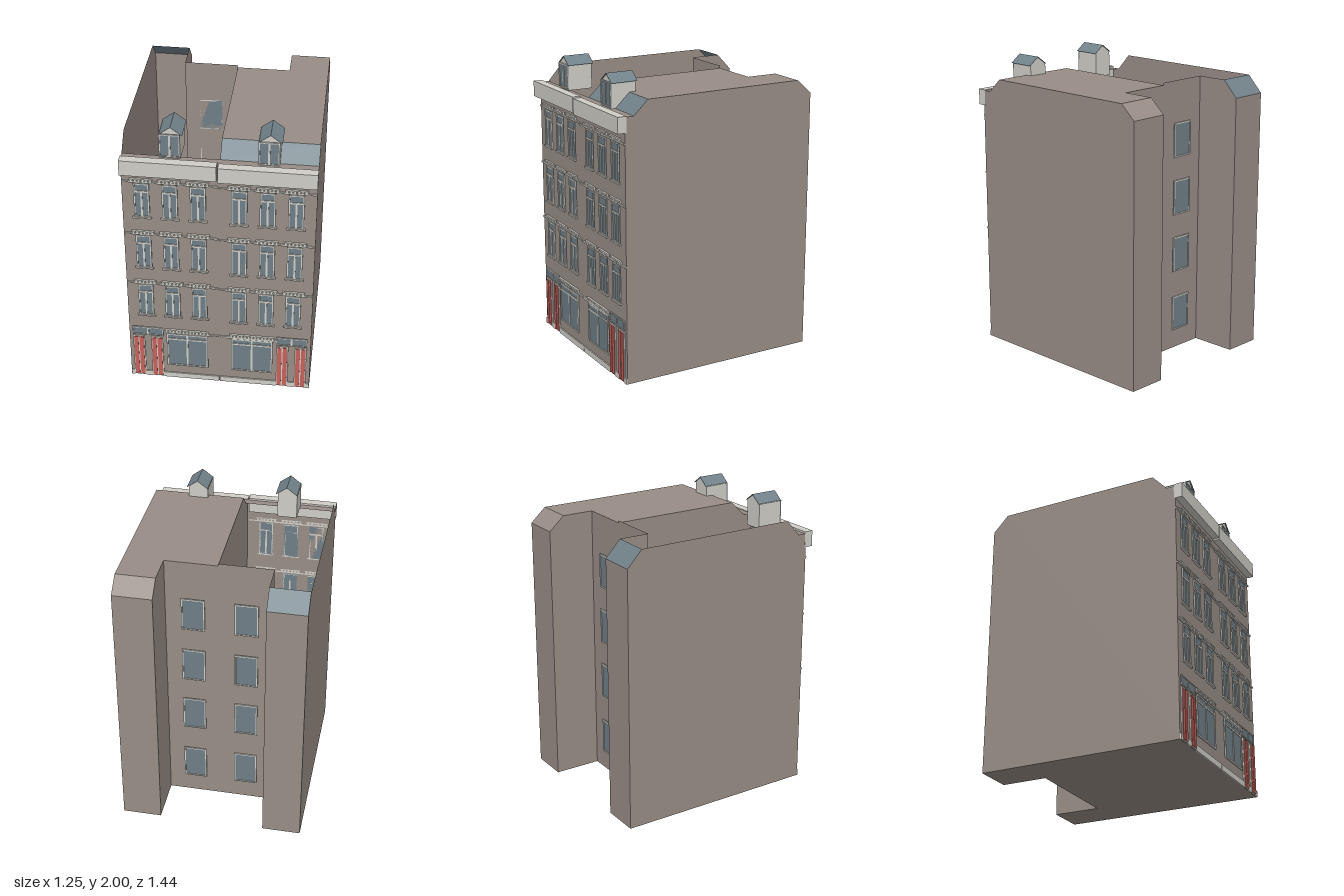
import * as THREE from 'three';

const mat = (name, color) => {
  const m = new THREE.MeshStandardMaterial({ color, side: THREE.DoubleSide });
  m.name = name;
  return m;
};

export function createModel() {
  const brick = mat('brick', 0x988d86);
  const cream = mat('cream trim', 0xcfcdc6);
  const slate = mat('slate', 0x72828a);
  const glass = mat('window glass', 0x6f7e86);
  const red = mat('red door', 0xc4605a);

  const root = new THREE.Group();
  root.name = 'townhouses';
  const group = (name, parent = root) => {
    const g = new THREE.Group();
    g.name = name;
    parent.add(g);
    return g;
  };

  // Flat polygon fanned from its first corner; the plan is slightly skewed
  const face = (parent, name, material, pts) => {
    const pos = pts.flatMap(([x, y, z]) => [x + 0.011 * z, y, z]);
    const idx = [];
    for (let i = 1; i < pts.length - 1; i++) idx.push(0, i, i + 1);
    let g = new THREE.BufferGeometry();
    g.setAttribute('position', new THREE.Float32BufferAttribute(pos, 3));
    g.setIndex(idx);
    g = g.toNonIndexed();
    g.computeVertexNormals();
    const m = new THREE.Mesh(g, material);
    m.name = name;
    parent.add(m);
  };
  const box = (parent, name, material, x0, x1, y0, y1, z0, z1) => {
    const m = new THREE.Mesh(new THREE.BoxGeometry(Math.abs(x1 - x0), y1 - y0, z1 - z0), material);
    m.position.set((x0 + x1) / 2, (y0 + y1) / 2, (z0 + z1) / 2);
    m.name = name;
    parent.add(m);
  };

  const F = 0.672, B = -0.4; // facade and rear wall planes

  // Shell of one house: s = side, o = outer x, w = wing inner x, t = roof height, b = wing back
  const shell = (s, o, w, t, b) => {
    const g = group(s > 0 ? 'rightHouse' : 'leftHouse');
    const k = b + 0.105, e = 1.77;
    // corner order is reversed on the mirrored side
    const f = (name, m, pts, flip = false) => face(g, name, m, (s > 0) !== flip ? pts : [...pts].reverse());
    f('outerWall', brick, [[o, 0, b], [o, e, b], [o, t, k], [o, t, 0.51], [o, e, 0.61], [o, e, F], [o, 0, F]]);
    f('frontWall', brick, [[0, 0, F], [o, 0, F], [o, e, F], [0, e, F]]);
    f('eavesLedge', brick, [[0, e, F], [o, e, F], [o, e, 0.61], [0, e, 0.61]]);
    f('rearWall', brick, [[w, 0, B], [0, 0, B], [0, t, B], [w, t, B]]);
    f('wingInnerWall', brick, [[w, 0, b], [w, 0, B], [w, t, B], [w, t, k], [w, e, b]]);
    f('wingRearWall', brick, [[o, 0, b], [w, 0, b], [w, e, b], [o, e, b]]);
    f('wingRearSlope', s > 0 ? brick : slate, [[o, e, b], [w, e, b], [w, t, k], [o, t, k]]);
    f('mainFloor', brick, [[0, 0, B], [o, 0, B], [o, 0, F], [0, 0, F]]);
    f('wingFloor', brick, [[w, 0, b], [o, 0, b], [o, 0, B], [w, 0, B]]);
    if (s > 0) {
      // Only this house is roofed; the other one is open from above
      f('frontRoofSlope', slate, [[0, e, 0.61], [o, e, 0.61], [o, t, 0.51], [0, t, 0.51]]);
      f('flatRoof', brick, [[0, t, 0.51], [o, t, 0.51], [o, t, B], [0, t, B]]);
      f('wingRoof', brick, [[w, t, B], [o, t, B], [o, t, k], [w, t, k]]);
      f('partyWall', brick, [[0, 0, B], [0, 0, F], [0, e, F], [0, e, 0.61], [0, t, 0.51], [0, t, B]]);
    }
    return g;
  };

  // Glazed opening with a cream frame and optional glazing bars; d = outward z direction
  const windowUnit = (parent, name, x0, x1, y0, y1, z, d, bar, mullion, transom) => {
    const g = group(name, parent);
    const zs = (h) => (d > 0 ? [z, z + h] : [z - h, z]);
    box(g, 'pane', glass, x0, x1, y0, y1, ...zs(0.005));
    const strip = (n, a, b, c, e) => box(g, n, cream, a, b, c, e, ...zs(0.009));
    strip('frameSide', x0, x0 + bar, y0, y1);
    strip('frameSide', x1 - bar, x1, y0, y1);
    strip('frameTop', x0, x1, y1 - bar, y1);
    strip('frameBottom', x0, x1, y0, y0 + bar);
    const c = (x0 + x1) / 2;
    if (transom) strip('transom', x0, x1, transom - 0.006, transom + 0.006);
    if (mullion) strip('mullion', c - 0.006, c + 0.006, y0, mullion);
  };

  // Toothed moulding above an opening
  const dentils = (parent, c, width, y, n) => {
    box(parent, 'moulding', cream, c - width / 2, c + width / 2, y + 0.013, y + 0.022, F, F + 0.014);
    const step = width / n;
    for (let i = 0; i < n; i++) {
      const x = c - width / 2 + (i + 0.5) * step;
      box(parent, 'dentil', cream, x - step * 0.3, x + step * 0.3, y, y + 0.013, F, F + 0.012);
    }
  };

  const facade = (g, s) => {
    const X = (u) => s * u + (s > 0 ? 0.007 : 0);
    const span = (a, b) => [X(a), X(b)].sort((p, q) => p - q);
    const dy = s > 0 ? -0.008 : 0;
    const end = s > 0 ? 0.611 : 0.608;

    // Three upper floors of three windows
    for (const top of [1.597, 1.197, 0.797]) {
      const y1 = top + dy, y0 = y1 - 0.255;
      box(g, 'storeyBand', cream, ...span(0.0, end), y1 + 0.006, y1 + 0.016, F, F + 0.01);
      for (const u of [0.127, 0.306, 0.485]) {
        const c = X(u);
        windowUnit(g, 'frontWindow', c - 0.05, c + 0.05, y0, y1, F, 1, 0.009, y1 - 0.055, y1 - 0.06);
        box(g, 'sill', cream, c - 0.06, c + 0.06, y0 - 0.008, y0 + 0.002, F, F + 0.016);
        dentils(g, c, 0.145, y1 + 0.014, 6);
      }
    }

    // Shop window
    const [a, b] = span(0.075, 0.357);
    windowUnit(g, 'shopWindow', a, b, 0.11, 0.39, F, 1, 0.01, 0.39, 0.345);
    box(g, 'shopBand', cream, ...span(0, 0.385), 0.396 + dy / 2, 0.406, F, F + 0.01);
    dentils(g, (a + b) / 2, 0.3, 0.404, 13);

    // Paired doors with fanlights
    for (const [p, q] of [[0.383, 0.463], [0.507, 0.587]]) {
      box(g, 'doorFrame', cream, ...span(p, q), 0.005, 0.355, F, F + 0.008);
      for (const u of [p + 0.007, q - 0.036])
        box(g, 'doorPanel', red, ...span(u, u + 0.029), 0.012, 0.345, F, F + 0.012);
    }
    const [l, r] = span(0.38, 0.588);
    windowUnit(g, 'fanlight', l, r, 0.365, 0.43, F, 1, 0.007, 0.43, 0);

    // Plinth, interrupted by the doors
    for (const [p, q] of [[0, 0.383], [0.463, 0.507], [0.587, end]])
      box(g, 'plinth', cream, ...span(p, q), 0, 0.04, F, F + 0.008);

    // Cornice
    box(g, 'cornice', cream, s * 0.004, s > 0 ? 0.62 : -0.612, 1.677 + dy, 1.783 + dy, 0.662, 0.722);

    // Rear windows
    const c = s > 0 ? 0.162 : -0.19;
    for (const [y0, y1] of [[0.13, 0.374], [0.557, 0.8], [0.96, 1.2], [1.36, 1.595]])
      windowUnit(g, 'rearWindow', c - 0.078, c + 0.078, y0, y1, B, -1, 0.009, 0, 0);
  };

  // Gabled dormer
  const dormer = (parent, c, y) => {
    const g = group('dormer', parent);
    const h = 0.066, eave = y + 0.162, top = y + 0.21, z0 = 0.465, z1 = 0.636;
    box(g, 'dormerBody', cream, c - h, c + h, y - 0.01, eave, z0, z1);
    for (const z of [z0, z1])
      face(g, 'gable', cream, z === z1
        ? [[c - h, eave, z], [c + h, eave, z], [c, top, z]]
        : [[c + h, eave, z], [c - h, eave, z], [c, top, z]]);
    const w = h + 0.008, f = z1 + 0.008, b = z0 - 0.008, e = eave - 0.003, r = top + 0.004;
    face(g, 'roofSlope', slate, [[c + w, e, f], [c + w, e, b], [c, r, b], [c, r, f]]);
    face(g, 'roofSlope', slate, [[c - w, e, b], [c - w, e, f], [c, r, f], [c, r, b]]);
    windowUnit(g, 'dormerWindow', c - h, c + h, y, eave, z1, 1, 0.008, eave, 0);
  };

  const left = shell(-1, -0.618, -0.36, 1.88, -0.712);
  const right = shell(1, 0.612, 0.35, 1.864, -0.722);
  facade(left, -1);
  facade(right, 1);
  dormer(left, -0.303, 1.784);
  dormer(right, 0.312, 1.774);
  return root;
}
